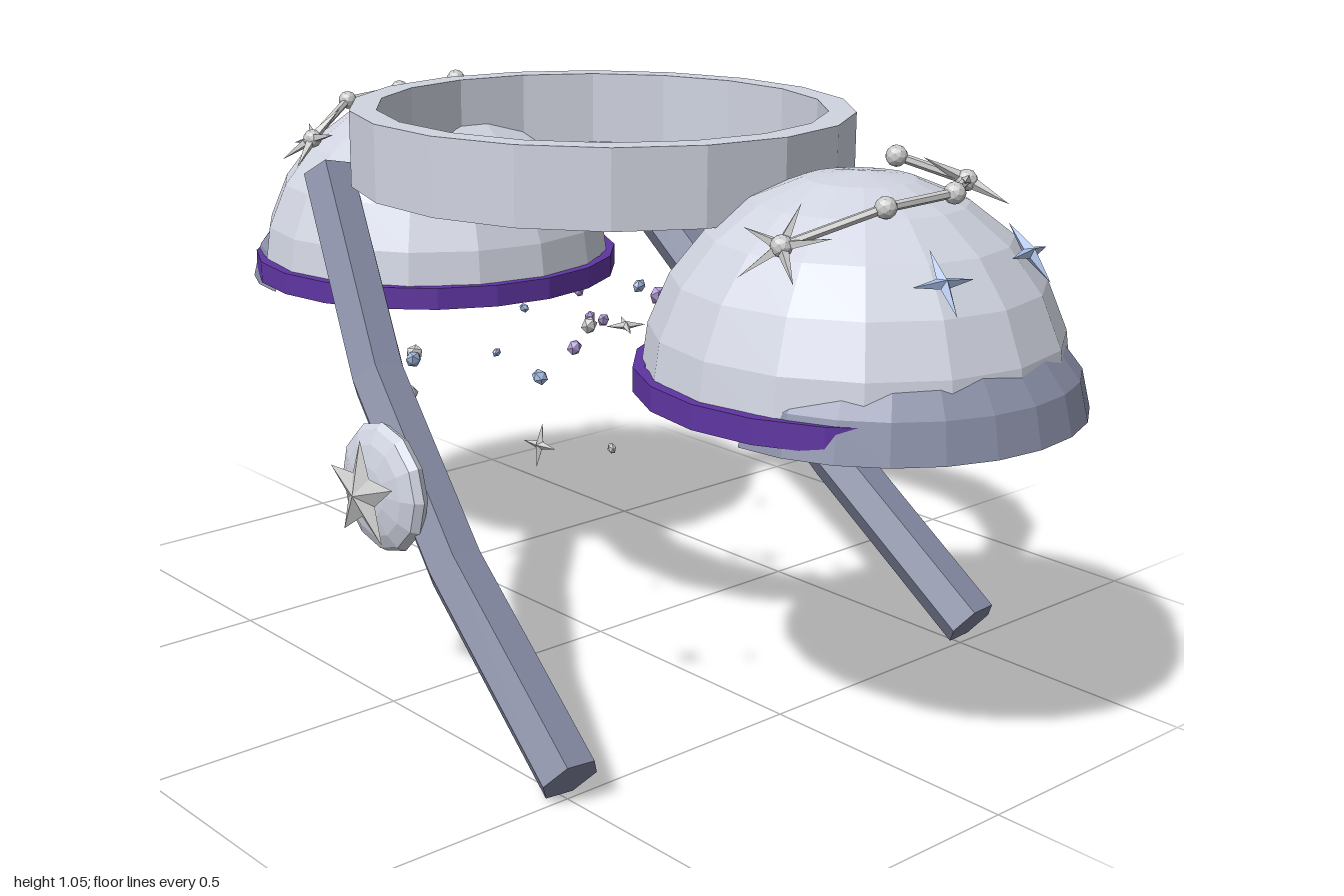
import * as THREE from 'three';

const V = (x, y, z) => new THREE.Vector3(x, y, z);
const mat = (color, side = THREE.FrontSide) => new THREE.MeshStandardMaterial({ color, flatShading: true, side });
const STEEL = mat(0xd0d4e0), SHELL = mat(0xd0d4e0, THREE.DoubleSide), STUD = mat(0xd2d0d0);
const SLATE = mat(0x80869e), GUARD = mat(0x8b90a8, THREE.DoubleSide), PURPLE = mat(0x5f35a2);
const BLUE = mat(0xa4bae2), LILAC = mat(0xb09ad6);

function add(parent, name, geometry, material, pos) {
  const m = new THREE.Mesh(geometry, material);
  m.name = name;
  if (pos) m.position.copy(pos);
  parent.add(m);
  return m;
}

// Triangles to flat geometry, turned outwards by the sign of the volume
function solid(tris) {
  let vol = 0;
  for (const [a, b, c] of tris) vol += a.dot(b.clone().cross(c));
  const pts = tris.flatMap(([a, b, c]) => (vol < 0 ? [a, c, b] : [a, b, c]));
  const g = new THREE.BufferGeometry().setFromPoints(pts);
  g.computeVertexNormals();
  return g;
}

// Closed loft through equal-sized loops, capped at both ends
function loft(loops) {
  const tris = [], n = loops[0].length;
  for (let i = 0; i + 1 < loops.length; i++) {
    const p = loops[i], q = loops[i + 1];
    for (let j = 0; j < n; j++) {
      const k = (j + 1) % n;
      tris.push([p[j], p[k], q[k]], [p[j], q[k], q[j]]);
    }
  }
  const s = loops[0], e = loops[loops.length - 1];
  for (let j = 1; j + 1 < n; j++) tris.push([s[0], s[j + 1], s[j]], [e[0], e[j], e[j + 1]]);
  return solid(tris);
}

// Faceted star in the xy plane, raised to a point front and back
function starGeo(points, outer, inner, depth) {
  const rim = [], tris = [], n = points * 2;
  for (let i = 0; i < n; i++) {
    const a = Math.PI / 2 + (i * 2 * Math.PI) / n, r = i % 2 ? inner : outer;
    rim.push(V(r * Math.cos(a), r * Math.sin(a), 0));
  }
  for (let i = 0; i < n; i++) {
    const a = rim[i], b = rim[(i + 1) % n];
    tris.push([V(0, 0, depth), a, b], [V(0, 0, -depth), b, a]);
  }
  return solid(tris);
}

// Star turned to face along a direction, in its parent's frame
function star(parent, name, geo, material, pos, normal) {
  const m = add(parent, name, geo, material, pos);
  const turn = new THREE.Matrix4().lookAt(normal, V(0, 0, 0), V(0, 1, 0));
  m.quaternion.setFromRotationMatrix(turn);
}

function rod(parent, name, a, b, r) {
  const d = b.clone().sub(a);
  const m = add(parent, name, new THREE.CylinderGeometry(r, r, d.length(), 6), STUD, a.clone().lerp(b, 0.5));
  m.quaternion.setFromUnitVectors(V(0, 1, 0), d.normalize());
}

const lathe = (pts, seg) => new THREE.LatheGeometry(pts.map(p => new THREE.Vector2(...p)), seg);

// Six-sided bent beam
function beam(parent, name, path) {
  const loops = path.map((p, i) => {
    const d = path[Math.min(i + 1, path.length - 1)].clone().sub(path[Math.max(i - 1, 0)]).normalize();
    const u = V(0, 0, 1).addScaledVector(d, -d.z).normalize();
    const v = d.clone().cross(u);
    return Array.from({ length: 6 }, (_, j) => {
      const a = (j * Math.PI) / 3;
      return p.clone().addScaledVector(u, 0.055 * Math.cos(a)).addScaledVector(v, 0.055 * Math.sin(a));
    });
  });
  add(parent, name, loft(loops), SLATE);
}

// Shoulder dome; s is the side, +1 or -1
function shoulder(s) {
  const g = new THREE.Group();
  g.name = s > 0 ? 'leftShoulder' : 'rightShoulder';
  g.position.set(s * 0.6, 0.645, -0.055);

  // Open dome shell
  const dome = add(g, 'dome', new THREE.SphereGeometry(0.365, 16, 6, 0, Math.PI * 2, 0, Math.PI / 2), SHELL);
  dome.scale.y = 0.985;

  // Rim band
  add(g, 'rimBand', lathe([[0.358, -0.015], [0.379, -0.015], [0.379, 0.028], [0.358, 0.028], [0.358, -0.015]], 20), PURPLE);

  // Outer guard: a low half shell that cuts through the dome wall
  const shell = new THREE.SphereGeometry(1, 12, 5, Math.PI / 2, Math.PI, 0, Math.PI / 2);
  const guard = add(g, 'outerGuard', shell, GUARD, V(s * 0.08, -0.03, 0));
  guard.rotation.y = s > 0 ? 0 : Math.PI;
  guard.scale.set(0.32, 0.22, 0.352);

  // Studs, rods and stars over the crown
  const spots = [[0.015, -0.07], [0.105, -0.145], [0.172, -0.035], [0.155, 0.11], [0.07, 0.255]]
    .map(([x, z]) => V(s * x, Math.sqrt(0.384 ** 2 - x * x - z * z), z));
  const crownStar = starGeo(5, 0.085, 0.016, 0.012);
  spots.forEach((p, i) => {
    add(g, 'stud', new THREE.IcosahedronGeometry(0.019, 1), STUD, p);
    if (i) rod(g, 'studRod', spots[i - 1], p, 0.008);
    if (i === 1 || i === 4) star(g, 'crownStar', crownStar, STUD, p, p);
  });

  // Blue four-pointed stars on the outer side
  const sideStar = starGeo(4, 0.06, 0.013, 0.012);
  for (const [y, z] of [[0.235, 0.115], [0.25, -0.107]]) {
    const p = V(s * Math.sqrt(0.385 ** 2 - y * y - z * z), y, z);
    star(g, 'sideStar', sideStar, BLUE, p, V(p.x, y, z * 0.5));
  }
  return g;
}

export function createModel() {
  const model = new THREE.Group();
  model.name = 'armourSet';
  model.add(shoulder(1), shoulder(-1));

  // Collar ring
  const collar = add(model, 'collarRing',
    lathe([[0.43, 0.91], [0.482, 0.91], [0.482, 1.05], [0.43, 1.05], [0.43, 0.91]], 18), STEEL);
  collar.rotation.y = Math.PI / 2;
  collar.scale.x = 0.945;

  // Sash beams
  beam(model, 'frontBeam', [V(-0.51, 0.875, 0.265), V(-0.16, 0.56, 0.4), V(0.16, 0.3, 0.468), V(0.51, 0.04, 0.502)]);
  beam(model, 'backBeam', [V(-0.51, 0.875, -0.452), V(-0.16, 0.56, -0.49), V(0.16, 0.3, -0.497), V(0.51, 0.04, -0.518)]);

  // Medallion
  const disc = add(model, 'medallion', new THREE.SphereGeometry(0.12, 12, 8), STEEL, V(0, 0.417, 0.505));
  disc.rotation.x = Math.PI / 2;
  disc.scale.y = 0.32;
  add(model, 'medallionStar', starGeo(5, 0.1, 0.042, 0.02), STUD, V(0, 0.415, 0.555));

  // Floating four-pointed stars
  const small = starGeo(4, 0.038, 0.009, 0.009);
  star(model, 'floatingStar', small, STUD, V(0.4, 0.5, -0.12), V(1, 0, 0.2));
  star(model, 'floatingStar', small, STUD, V(0.31, 0.55, 0.4), V(0.1, 0.2, 1));
  star(model, 'floatingStar', small, STUD, V(0.05, 0.635, -0.02), V(0.2, 1, 0.1));

  // Floating gems: x, y, z, size, material
  const gem = new THREE.IcosahedronGeometry(1, 0);
  const gems = [
    [-0.39, 0.44, 0.2, 0.019, BLUE], [-0.31, 0.44, -0.1, 0.019, BLUE], [-0.29, 0.49, 0.26, 0.018, LILAC],
    [-0.3, 0.49, -0.185, 0.018, LILAC], [-0.37, 0.515, 0.175, 0.019, BLUE], [-0.24, 0.53, -0.35, 0.014, STUD],
    [-0.28, 0.555, -0.21, 0.015, LILAC], [-0.37, 0.59, -0.255, 0.016, LILAC], [-0.29, 0.6, -0.045, 0.011, BLUE],
    [-0.38, 0.525, 0.165, 0.018, STUD], [-0.3, 0.47, 0.235, 0.019, STUD], [-0.29, 0.485, 0.32, 0.012, LILAC],
    [0.4, 0.5, -0.235, 0.02, BLUE], [0.44, 0.44, -0.315, 0.02, LILAC], [0.38, 0.54, 0.3, 0.01, STUD],
    [0.17, 0.77, -0.19, 0.018, BLUE], [0.17, 0.76, -0.11, 0.015, LILAC], [0.21, 0.75, 0, 0.014, LILAC],
    [0.23, 0.74, 0.06, 0.02, LILAC], [0.2, 0.755, 0.08, 0.015, BLUE], [0.25, 0.72, 0.07, 0.012, STUD],
    [-0.02, 0.815, -0.33, 0.012, STUD], [0.02, 0.815, -0.325, 0.014, BLUE], [0.06, 0.81, -0.32, 0.01, STUD],
    [-0.01, 0.63, 0.02, 0.018, STUD], [0.02, 0.645, 0.01, 0.014, LILAC], [0, 0.62, 0.25, 0.01, BLUE],
  ];
  gems.forEach(([x, y, z, r, m], i) => {
    const mesh = add(model, 'floatingGem', gem, m, V(x, y, z));
    mesh.scale.set(r * 0.7, r, r * 0.9);
    mesh.rotation.set(i * 0.9, 0.3, 0.3);
  });
  return model;
}
